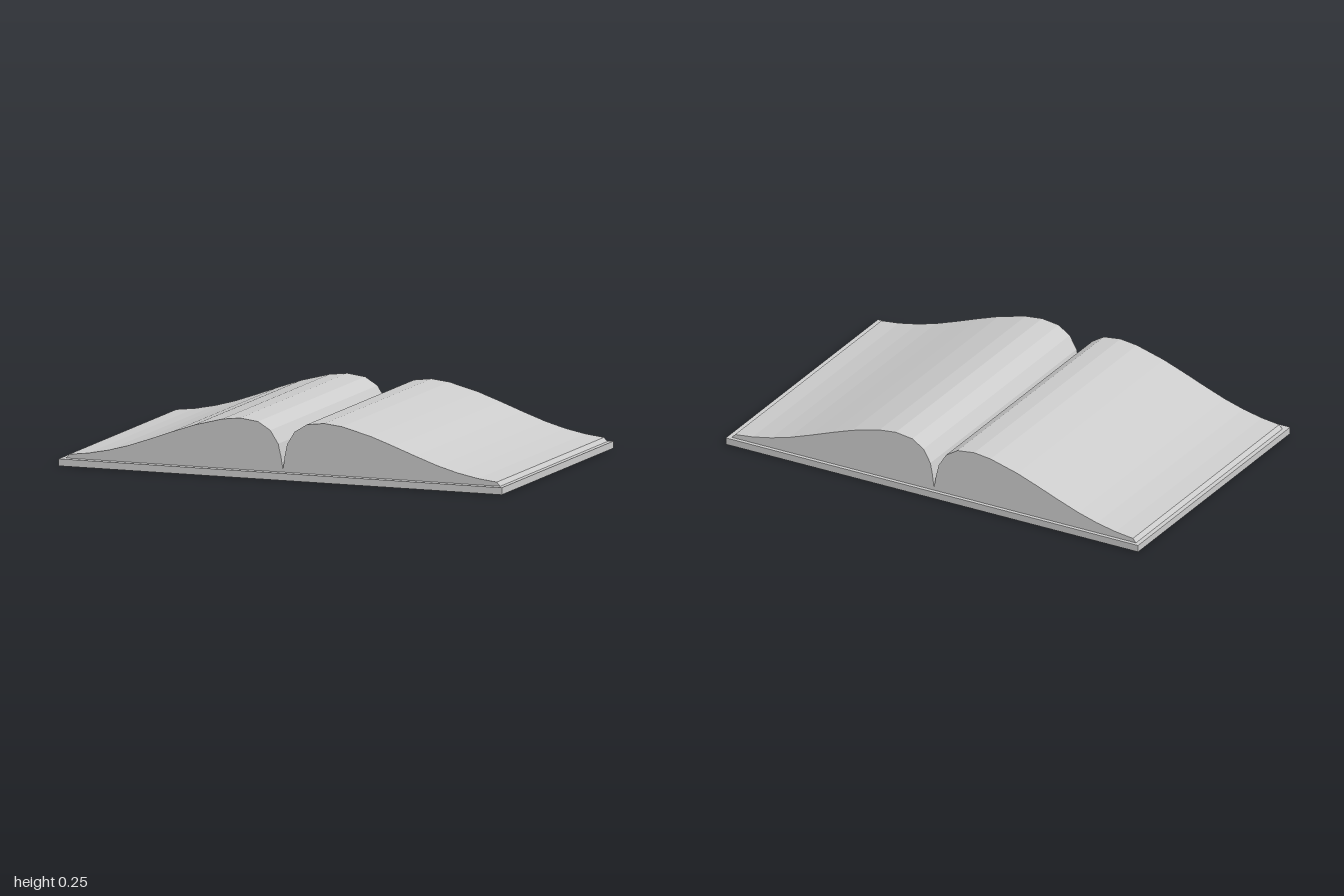
import * as THREE from 'three';

const COVER_T = 0.03;

// Half of the page-block outline, from the gutter out to the fore edge
const HALF = [
  [0.009, 0.1], [0.02, 0.15], [0.055, 0.206], [0.11, 0.24], [0.19, 0.25],
  [0.27, 0.241], [0.4, 0.207], [0.5, 0.172], [0.6, 0.135], [0.7, 0.1], [0.79, 0.075],
  [0.88, 0.057], [0.965, 0.047], [0.98, COVER_T],
];

export function createModel() {
  const group = new THREE.Group();
  group.name = 'openBook';
  const material = new THREE.MeshStandardMaterial({ color: 0xcccccc, flatShading: true });

  // Flat cover board
  const cover = new THREE.Mesh(new THREE.BoxGeometry(2, COVER_T, 1.274), material);
  cover.name = 'cover';
  cover.position.y = COVER_T / 2;
  group.add(cover);

  // Open pages: mirrored outline meeting in the gutter, swept front to back
  const left = HALF.map(([x, y]) => new THREE.Vector2(x, y));
  const right = HALF.map(([x, y]) => new THREE.Vector2(-x, y)).reverse();
  const outline = new THREE.Shape([...right, new THREE.Vector2(0, 0.04), ...left]);
  const geometry = new THREE.ExtrudeGeometry(outline, { depth: 1.225, bevelEnabled: false });

  // Pages lean slightly forward with height
  const p = geometry.attributes.position;
  for (let i = 0; i < p.count; i++) {
    p.setZ(i, p.getZ(i) - 0.62 + 0.04 * (p.getY(i) - COVER_T));
  }
  geometry.computeVertexNormals();
  const pages = new THREE.Mesh(geometry, material);
  pages.name = 'pages';
  group.add(pages);

  return group;
}
